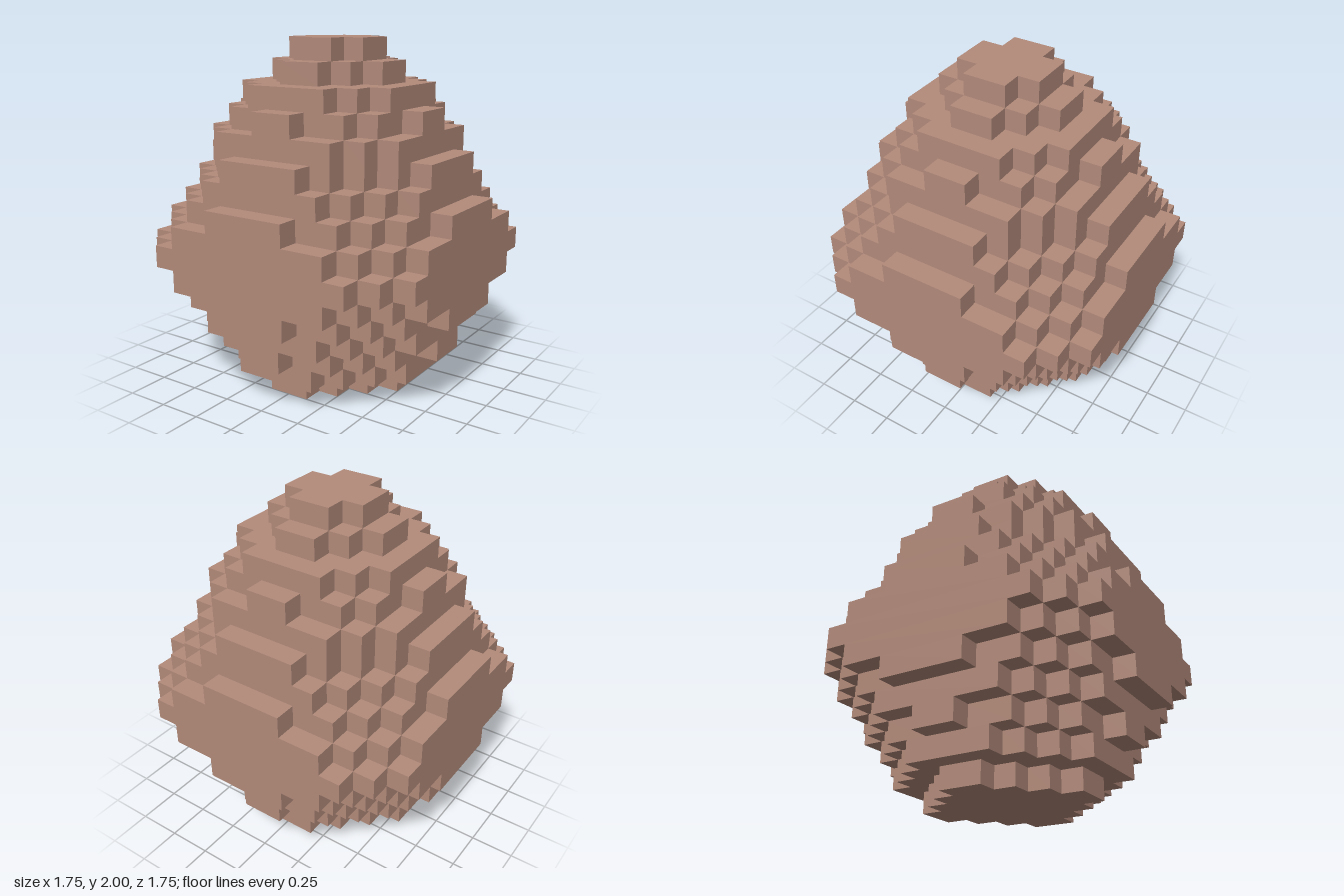
import * as THREE from 'three';

const CELL = 0.125;  // edge of one cube
const MAX = 7;       // widest half-width, in cubes
const POWER = 1.7;   // roundness of each layer: 1 diamond, 2 circle

// Size of each layer from the ground up; a cube is kept if |x|^p + |z|^p <= size
const LAYERS = [9.1, 15.5, 19, 23.8, 27.6, 33, 39, 33, 27.6, 23.8, 20.7, 18, 14, 10.8, 6, 3];

// Number of cubes from the middle to the edge in column i (1 = innermost)
function reach(i, size) {
  let n = 0;
  while (i <= MAX && n < MAX && (i - 0.5) ** POWER + (n + 0.5) ** POWER <= size) n++;
  return n;
}

// Stepped outline of a layer: one quarter, turned four times
function layerShape(size) {
  const quarter = [];
  for (let i = 1; i <= MAX; i++) {
    const here = reach(i, size), next = reach(i + 1, size);
    if (next < here) {
      quarter.push([i, here]);
      if (next > 0) quarter.push([i, next]);
    }
  }
  const points = [];
  let turned = quarter;
  for (let q = 0; q < 4; q++) {
    points.push(...turned.map(([x, z]) => new THREE.Vector2(x * CELL, z * CELL)));
    turned = turned.map(([x, z]) => [z, -x]);
  }
  return new THREE.Shape(points);
}

export function createModel() {
  const model = new THREE.Group();
  model.name = 'blockEgg';
  const material = new THREE.MeshStandardMaterial({ color: 0xb38b7b, flatShading: true });

  // Stack the layers
  LAYERS.forEach((size, level) => {
    const geometry = new THREE.ExtrudeGeometry(layerShape(size), { depth: CELL, bevelEnabled: false });
    geometry.rotateX(-Math.PI / 2);
    const layer = new THREE.Mesh(geometry, material);
    layer.name = `eggLayer${level + 1}`;
    layer.position.y = level * CELL;
    model.add(layer);
  });
  return model;
}
